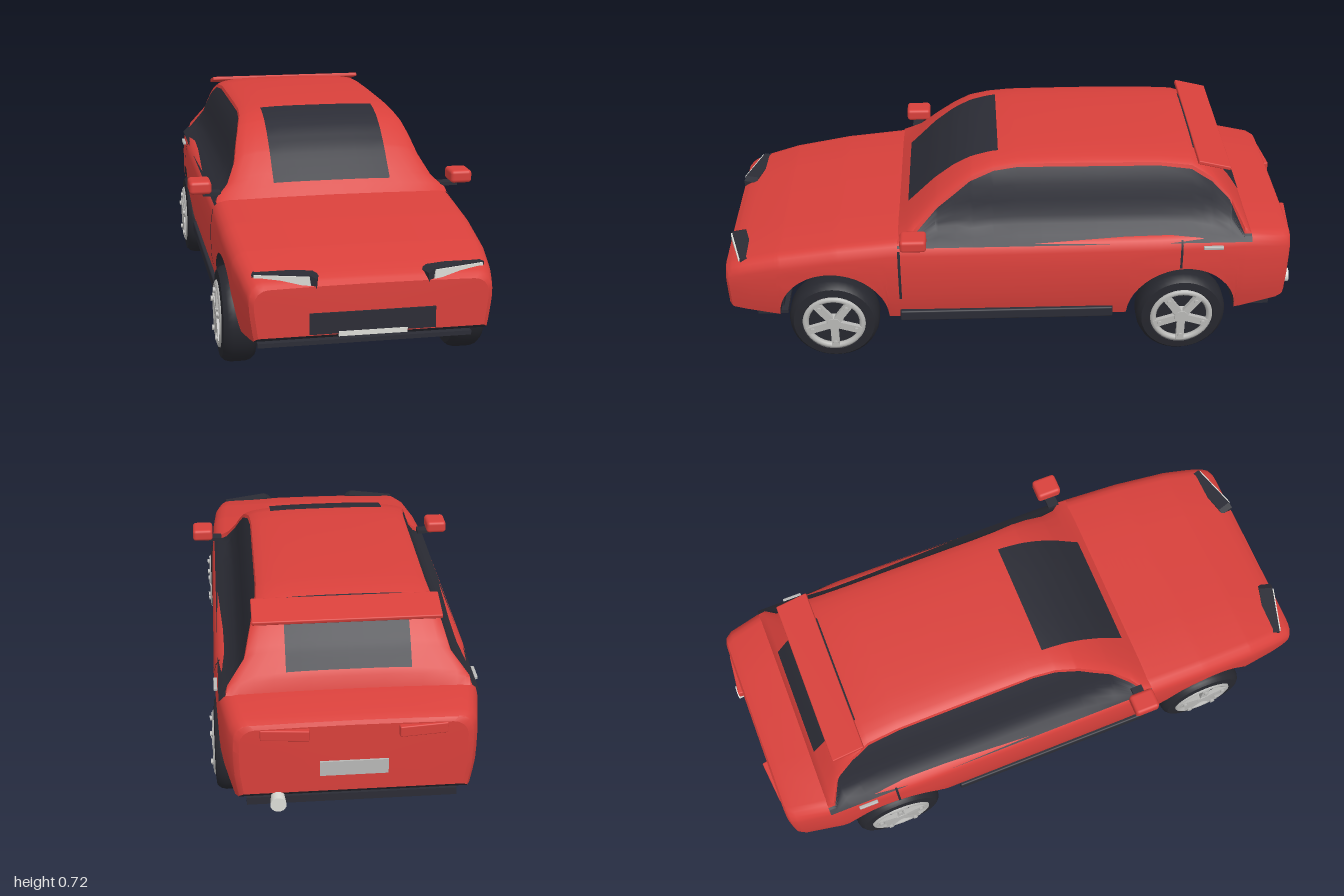
import * as THREE from 'three';
import { toCreasedNormals } from 'three/addons/utils/BufferGeometryUtils.js';
import { RoundedBoxGeometry } from 'three/addons/geometries/RoundedBoxGeometry.js';

const mat = (name, color) => Object.assign(new THREE.MeshStandardMaterial({ color }), { name });

// Piecewise linear lookup in a list of [key, value], keys ascending
function look(table, k) {
  if (k <= table[0][0]) return table[0][1];
  for (let i = 1; i < table.length; i++) {
    const [k0, v0] = table[i - 1], [k1, v1] = table[i];
    if (k <= k1) return v0 + (v1 - v0) * (k - k0) / (k1 - k0);
  }
  return table[table.length - 1][1];
}

// Grid surface through rows of points; rows run front to back, points counterclockwise
function surface(rows, crease = 0.65) {
  const n = rows[0].length, idx = [];
  for (let i = 0; i < rows.length - 1; i++) for (let j = 0; j < n - 1; j++) {
    const a = i * n + j, b = a + 1, c = a + n, d = c + 1;
    idx.push(a, c, b, b, c, d);
  }
  const g = new THREE.BufferGeometry();
  g.setAttribute('position', new THREE.Float32BufferAttribute(rows.flat(2), 3));
  g.setIndex(idx);
  return toCreasedNormals(g, crease);
}
const mirrored = half => [...half, ...half.slice(0, -1).reverse().map(([x, y, z]) => [-x, y, z])];

// Lower body: half width, top and bottom by z, tuck by height
const WIDTH = [[-0.962, 0.35], [-0.955, 0.367], [-0.93, 0.382], [-0.8, 0.408], [-0.5, 0.42], [0.3, 0.418], [0.6, 0.412], [0.8, 0.4], [0.93, 0.382], [0.975, 0.372], [0.985, 0.358]];
const TOP = [[-0.962, 0.435], [-0.955, 0.447], [-0.93, 0.457], [-0.79, 0.475], [-0.6, 0.473], [0, 0.468], [0.39, 0.466], [0.6, 0.445], [0.8, 0.413], [0.9, 0.388], [0.96, 0.368], [0.985, 0.35]];
const BOTTOM = [[-0.962, 0.205], [-0.95, 0.19], [-0.77, 0.158], [-0.4, 0.152], [0.4, 0.152], [0.8, 0.16], [0.97, 0.187], [0.985, 0.2]];
const TUCK = [[0.15, 0.93], [0.2, 0.965], [0.28, 0.995], [0.36, 1], [0.47, 0.98]];
const AXLES = [0.62, -0.59], ARCH = 0.19, SHOULDER = 0.045;

function sideX(z, y) {
  const over = Math.min(1, Math.max(0, (y - look(TOP, z) + SHOULDER) / SHOULDER));
  return look(WIDTH, z) * look(TUCK, y) - SHOULDER * (1 - Math.sqrt(1 - over * over));
}

function bodyRing(z) {
  const t = look(TOP, z), half = [];
  let b = look(BOTTOM, z);
  for (const c of AXLES) b = Math.max(b, 0.16 + Math.sqrt(Math.max(0, ARCH ** 2 - (z - c) ** 2)) - (Math.abs(z - c) > ARCH ? 1 : 0));
  half.push([0, b, z]);
  for (let k = 0; k <= 5; k++) {
    const y = b + (t - SHOULDER - b) * k / 5;
    half.push([sideX(z, y), y, z]);
  }
  for (let k = 1; k <= 4; k++) {
    const y = t - SHOULDER + SHOULDER * Math.sin(k * Math.PI / 8);
    half.push([sideX(z, y), y, z]);
  }
  half.push([sideX(z, t) * 0.5, t + 0.003, z], [0, t + 0.004, z]);
  return mirrored(half);
}

// Cabin: roof line, top edge of the side glass, half width by height
const ROOF = [[-0.815, 0.47], [-0.8, 0.515], [-0.75, 0.59], [-0.69, 0.66], [-0.65, 0.69], [-0.61, 0.706], [-0.5, 0.713], [-0.29, 0.718], [-0.1, 0.716], [0, 0.712], [0.07, 0.704], [0.13, 0.688], [0.19, 0.657], [0.26, 0.602], [0.33, 0.53], [0.39, 0.468]];
const GLASS = [[-0.79, 0.47], [-0.74, 0.57], [-0.68, 0.63], [-0.61, 0.67], [-0.5, 0.682], [-0.02, 0.685], [0.06, 0.675], [0.14, 0.645], [0.25, 0.56], [0.32, 0.49], [0.36, 0.457]];
const CABIN = [[0.45, 0.405], [0.465, 0.39], [0.48, 0.368], [0.5, 0.347], [0.55, 0.325], [0.6, 0.311], [0.65, 0.294], [0.69, 0.272]];
const BELT = 0.45;

function roofY(z, x) {
  const g = look(GLASS, z), w = look(CABIN, g);
  return g + (look(ROOF, z) - g) * Math.cbrt(Math.max(0, 1 - (Math.abs(x) / w) ** 3));
}
function roofRing(z) {
  const w = look(CABIN, look(GLASS, z)), half = [];
  for (const f of [1, 0.985, 0.95, 0.88, 0.76, 0.6, 0.3, 0]) half.push([w * f, roofY(z, w * f), z]);
  return mirrored(half);
}
function glassRow(z, s) {
  const g = look(GLASS, z), row = [];
  for (let k = 0; k <= 9; k++) {
    const y = BELT + (g - BELT) * k / 9;
    row.push([s * look(CABIN, y), y, z]);
  }
  return s > 0 ? row : row.reverse();
}
const steps = (a, b, n) => Array.from({ length: n + 1 }, (_, i) => a + (b - a) * i / n);

export function createModel() {
  const red = mat('body red', 0xd8403b), dark = mat('dark trim', 0x2b2c35), rubber = mat('tyre rubber', 0x26272e);
  const metal = mat('alloy metal', 0xb8b8b6), white = mat('lamp white', 0xdcdcd6);
  const car = new THREE.Group();
  car.name = 'car';
  const add = (name, geo, m, pos = [0, 0, 0], parent = car) => {
    const mesh = new THREE.Mesh(geo, m);
    mesh.name = name;
    mesh.position.set(...pos);
    parent.add(mesh);
    return mesh;
  };
  const box = (name, size, m, pos, r = 0) => add(name, r ? new RoundedBoxGeometry(...size, 3, r) : new THREE.BoxGeometry(...size), m, pos);

  // Lower body with open wheel arches
  const zs = [...WIDTH, ...TOP, ...BOTTOM].map(p => p[0]);
  for (const c of AXLES) for (let k = 0; k <= 20; k++) zs.push(c + ARCH * Math.cos(k * Math.PI / 20));
  for (const c of AXLES) zs.push(c + ARCH + 0.001, c - ARCH - 0.001);
  const rings = [...new Set(zs)].sort((a, b) => b - a).map(bodyRing);
  add('bodyShell', surface(rings.map(r => r.slice(1, -1))), red);
  add('underbody', surface(rings.map(r => [r[r.length - 2], r[0], r[1]])), dark);
  const first = rings[0], last = rings[rings.length - 1];
  add('noseFace', surface([first.map(() => [0, 0.28, 0.987]), first]), red);
  add('tailFace', surface([last, last.map(() => [0, 0.3, -0.964])]), red);

  // Cabin roof, side glass, windscreen and rear window
  const cz = [...new Set([...ROOF, ...GLASS].map(p => p[0]))].sort((a, b) => b - a);
  add('roof', surface(cz.map(roofRing)), red);
  for (const s of [1, -1]) add('sideGlass', surface(cz.map(z => glassRow(z, s))), dark);
  const pane = (z0, z1, w, dz) => surface(steps(z0, z1, 16).map(z => steps(w, -w, 8).map(x => [x, roofY(z, x) + 0.005, z + dz])));
  add('windscreen', pane(0.352, 0.04, 0.2, 0.003), dark);
  add('rearWindow', pane(-0.62, -0.79, 0.195, -0.004), dark);

  // Roof spoiler
  box('spoiler', [0.59, 0.014, 0.115], red, [0, 0.688, -0.685], 0.004).rotation.x = -0.24;

  // Nose and tail trim
  box('grille', [0.385, 0.066, 0.009], dark, [0, 0.238, 0.987]);
  box('frontPlate', [0.21, 0.015, 0.008], white, [0, 0.204, 0.99]);
  box('frontSplitter', [0.67, 0.014, 0.105], dark, [0, 0.142, 0.842]);
  box('splitterMount', [0.62, 0.03, 0.03], dark, [0, 0.158, 0.82]);
  box('rearPlate', [0.21, 0.05, 0.008], metal, [0, 0.29, -0.966]);
  box('rearDiffuser', [0.66, 0.026, 0.125], dark, [0, 0.145, -0.853]);
  add('exhaust', new THREE.CylinderGeometry(0.025, 0.016, 0.11, 20), white, [0.235, 0.187, -0.945]).rotation.x = -Math.PI / 2;

  const extrude = (pts, depth) => new THREE.ExtrudeGeometry(new THREE.Shape(pts.map(p => new THREE.Vector2(...p))), { depth, bevelEnabled: false });
  // Thin plate that follows the body side
  const sidePatch = (name, m, s, z0, z1, y0, y1, out) => {
    const rows = steps(z0, z1, 2).map(z => steps(y0, y1, 6).map(y => [s * (sideX(z, y) + out), y, z]));
    add(name, surface(s > 0 ? rows : rows.map(r => r.reverse())), m);
  };

  for (const s of [1, -1]) {
    // Wedge headlamps
    const lamp = new THREE.Group();
    lamp.name = 'headlamp';
    lamp.position.set(s * 0.155, 0, 0.938);
    lamp.rotation.y = s * 0.29;
    car.add(lamp);
    const flip = pts => pts.map(([x, y]) => [x * s, y]);
    add('lampHousing', extrude(flip([[0, 0.348], [0.012, 0.337], [0.035, 0.335], [0.06, 0.35], [0.195, 0.37], [0.195, 0.384], [0.02, 0.386], [0, 0.375]]), 0.05), dark, [0, 0, 0], lamp);
    add('lampLens', extrude(flip([[0.018, 0.356], [0.1, 0.359], [0.188, 0.373], [0.188, 0.382], [0.022, 0.383]]), 0.006), white, [0, 0, 0.049], lamp);

    // Tail lamps, door mirrors, side skirts
    box('tailLamp', [0.15, 0.036, 0.03], red, [s * 0.21, 0.415, -0.957], 0.004).rotation.y = -s * 0.1;
    box('mirror', [0.074, 0.044, 0.088], red, [s * 0.448, 0.507, 0.333], 0.012);
    box('mirrorStem', [0.06, 0.012, 0.04], dark, [s * 0.408, 0.48, 0.335]);
    box('sideSkirt', [0.035, 0.04, 0.74], dark, [s * 0.396, 0.17, 0.02], 0.006);

    // Door seams and handles
    sidePatch('frontDoorSeam', dark, s, 0.39, 0.381, 0.245, 0.44, 0.003);
    sidePatch('rearDoorSeam', dark, s, -0.572, -0.58, 0.355, 0.46, 0.003);
    box('doorHandle', [0.012, 0.012, 0.068], metal, [s * 0.414, 0.435, -0.683], 0.003);
  }

  // Wheels with five-spoke rims
  const tyre = toCreasedNormals(new THREE.LatheGeometry([[0, -0.054], [0.11, -0.055], [0.14, -0.052], [0.151, -0.04], [0.156, -0.022], [0.156, 0.022], [0.151, 0.04], [0.14, 0.052], [0.112, 0.055], [0.1, 0.042], [0, 0.04]].map(p => new THREE.Vector2(...p)), 40), 0.6);
  for (const z of AXLES) for (const s of [1, -1]) {
    const wheel = new THREE.Group();
    wheel.name = 'wheel';
    wheel.position.set(s * 0.37, 0.156, z);
    wheel.rotation.z = -s * Math.PI / 2;
    car.add(wheel);
    add('tyre', tyre, rubber, [0, 0, 0], wheel);
    add('rimRing', new THREE.TorusGeometry(0.099, 0.011, 8, 40), metal, [0, 0.05, 0], wheel).rotation.x = Math.PI / 2;
    add('hub', new THREE.CylinderGeometry(0.024, 0.032, 0.024, 20), metal, [0, 0.052, 0], wheel);
    for (let i = 0; i < 5; i++) {
      const a = i * Math.PI * 2 / 5, r = 0.056;
      add('spoke', new THREE.BoxGeometry(0.086, 0.016, 0.027), metal, [r * Math.cos(a), 0.054, r * Math.sin(a)], wheel).rotation.y = -a;
      add('spokeCap', new THREE.CylinderGeometry(0.009, 0.009, 0.01, 10), metal, [0.08 * Math.cos(a), 0.064, 0.08 * Math.sin(a)], wheel);
    }
  }
  return car;
}
